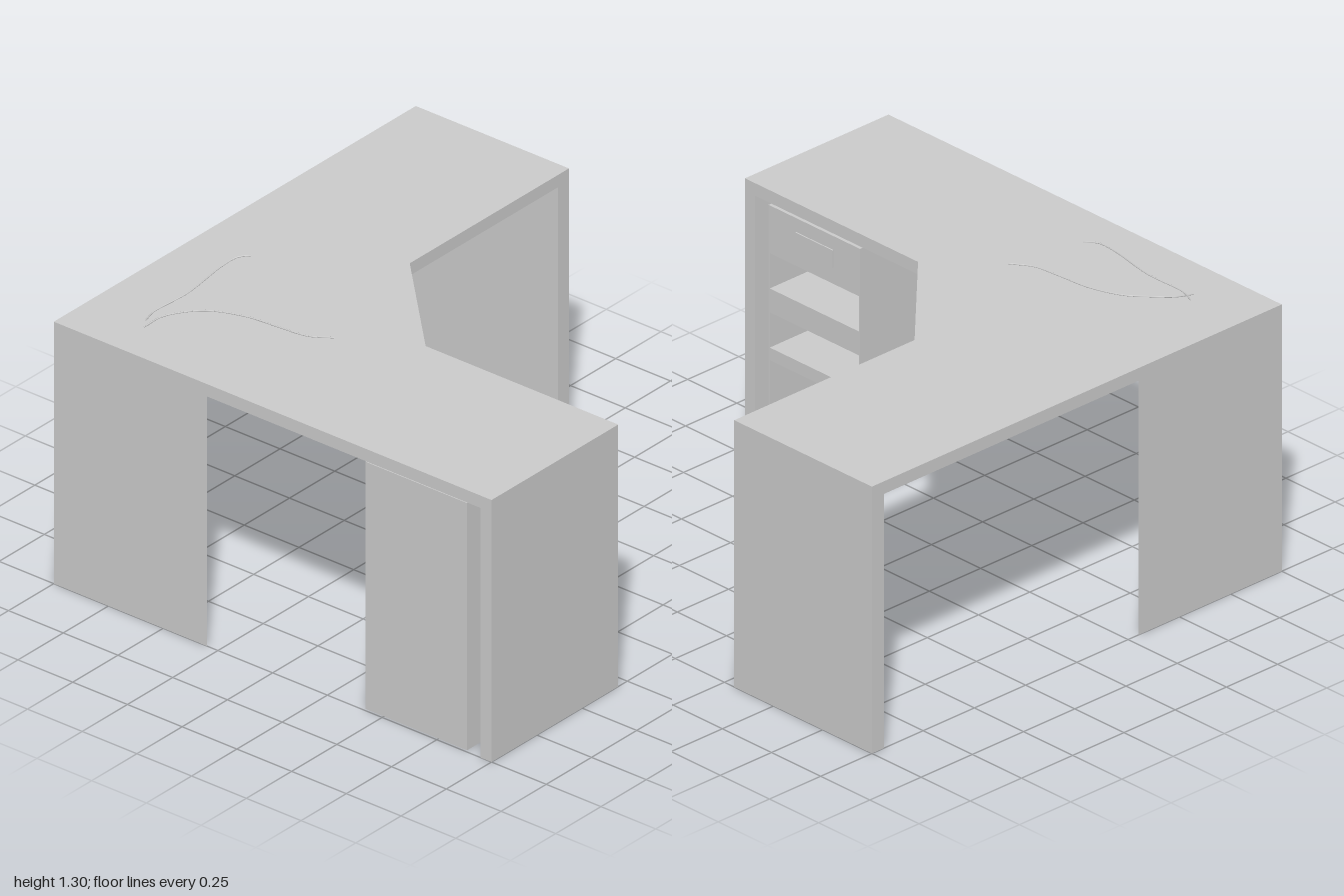
import * as THREE from 'three';

const material = new THREE.MeshStandardMaterial({ color: 0xcccccc, flatShading: true });
const wireMaterial = new THREE.MeshStandardMaterial({ color: 0xcccccc });

function add(parent, name, geometry, mat = material) {
  const mesh = new THREE.Mesh(geometry, mat);
  mesh.name = name;
  parent.add(mesh);
  return mesh;
}

// Box given by its limits on each axis
function box(parent, name, [x0, x1], [y0, y1], [z0, z1]) {
  const mesh = add(parent, name, new THREE.BoxGeometry(x1 - x0, y1 - y0, z1 - z0));
  mesh.position.set((x0 + x1) / 2, (y0 + y1) / 2, (z0 + z1) / 2);
}

// Floor-plan outline of [x, z] points raised from y0 to y1
function plan(parent, name, points, y0, y1) {
  const shape = new THREE.Shape(points.map(([x, z]) => new THREE.Vector2(x, -z)));
  const geometry = new THREE.ExtrudeGeometry(shape, { depth: y1 - y0, bevelEnabled: false });
  geometry.rotateX(-Math.PI / 2).translate(0, y0, 0);
  add(parent, name, geometry);
}

function wire(parent, name, points) {
  const curve = new THREE.CatmullRomCurve3(points.map((p) => new THREE.Vector3(...p)));
  add(parent, name, new THREE.TubeGeometry(curve, 40, 0.003, 6), wireMaterial);
}

export function createModel() {
  const desk = new THREE.Group();
  desk.name = 'cornerDesk';

  // Worktop with a cut inner corner
  plan(desk, 'worktop', [[-1, -1], [1, -1], [1, -0.3], [0.12, -0.3], [-0.3, 0.12], [-0.3, 1], [-1, 1]], 1.01, 1.06);

  // End panels of both arms
  box(desk, 'sideEndPanel', [0.94, 1], [0, 1.01], [-1, -0.3]);
  box(desk, 'frontEndPanel', [-1, -0.3], [0, 1.01], [0.95, 1]);

  // Thin folded corner support with tapered ends
  const t = -0.98;
  plan(desk, 'cornerSupport', [[-1, -1], [-0.3, -1], [-0.36, t], [t, t], [t, -0.36], [-1, -0.3]], 0, 1.01);

  // Drawer cabinet: shell, then solid bands between the open bays
  const cabinet = new THREE.Group();
  cabinet.name = 'cabinet';
  desk.add(cabinet);
  const cx = [-0.99, -0.3];
  box(cabinet, 'cabinetBack', [-0.99, -0.98], [0, 1], [0.415, 0.88]);
  box(cabinet, 'cabinetSide', cx, [0, 1], [0.415, 0.421]);
  box(cabinet, 'cabinetSide', cx, [0, 1], [0.874, 0.88]);
  const bands = { cabinetFloor: [0, 0.03], lowerShelf: [0.385, 0.435], upperShelf: [0.575, 0.67], topDrawer: [0.81, 1] };
  for (const [name, y] of Object.entries(bands)) box(cabinet, name, cx, y, [0.421, 0.874]);
  box(cabinet, 'drawerHandle', [-0.3, -0.295], [0.875, 0.945], [0.55, 0.74]);

  // Two fine wires on the worktop
  wire(desk, 'risingWire', [
    [-0.79, 1.062, -0.755], [-0.77, 1.095, -0.735], [-0.68, 1.165, -0.65],
    [-0.59, 1.262, -0.57], [-0.55, 1.292, -0.535], [-0.51, 1.295, -0.5],
  ]);
  wire(desk, 'lyingWire', [
    [-0.83, 1.061, -0.73], [-0.75, 1.073, -0.715], [-0.68, 1.081, -0.665], [-0.62, 1.083, -0.6],
    [-0.57, 1.083, -0.47], [-0.555, 1.083, -0.33], [-0.54, 1.083, -0.22], [-0.49, 1.083, -0.14],
  ]);

  return desk;
}
